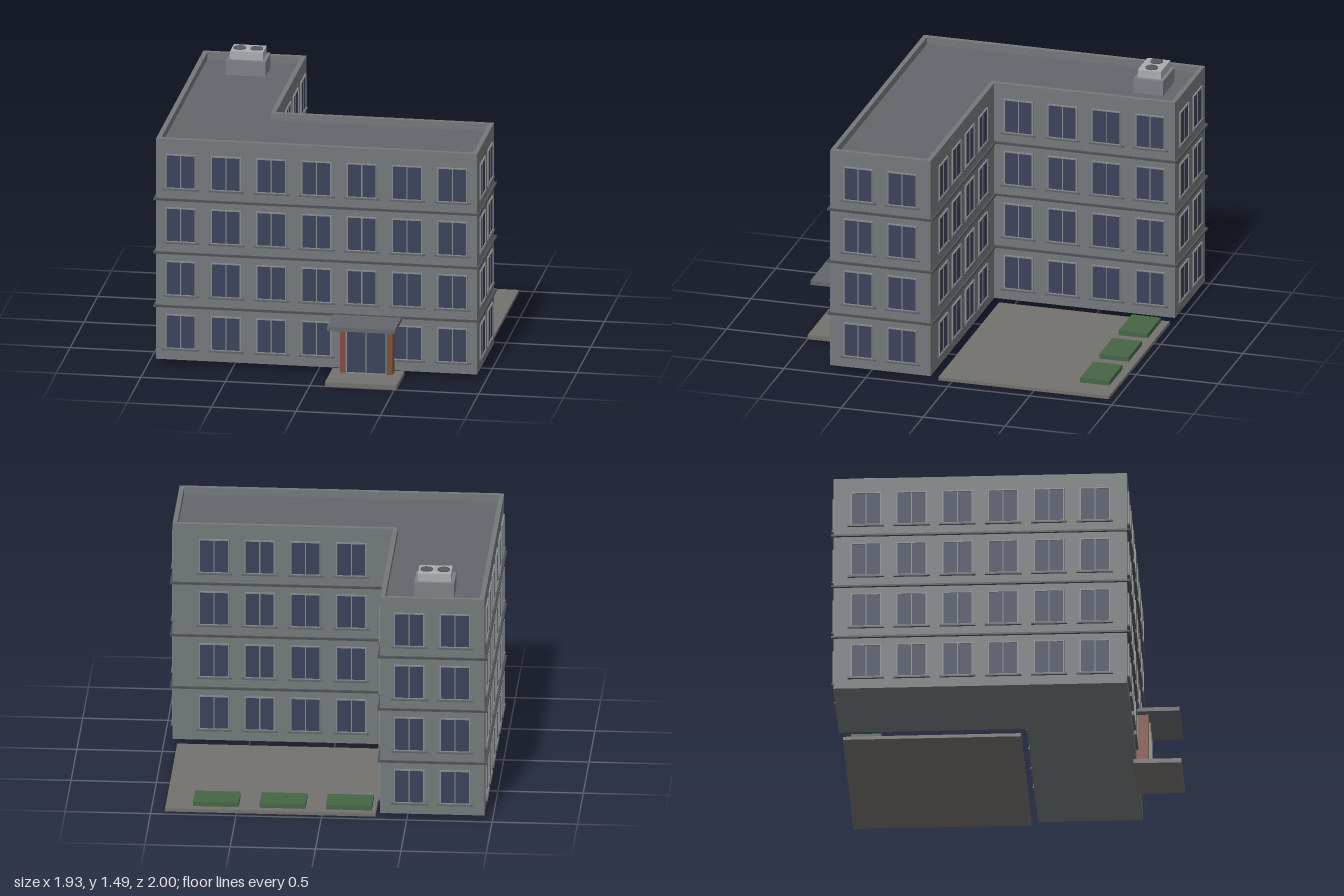
import * as THREE from 'three';

const X0 = -0.953, X1 = 0.948, XI = -0.343; // left wall, right wall, inner wing wall
const ZF = 0.733, ZB = -0.983, ZI = 0.12;   // front wall, wing end, inner bar wall
const BASE = 0.033, STOREY = 0.327, FLOORS = 4, TOP = 1.385;
const ROOF = BASE + STOREY * FLOORS;
const BAY = 0.268;

const mat = (color) => new THREE.MeshStandardMaterial({ color });
const M = {
  wall: mat(0x73787a), band: mat(0x4c5052), roof: mat(0x65666b), glass: mat(0x3b4259),
  frame: mat(0x85898a), sill: mat(0x5f6466), brick: mat(0x7f4c3c), paving: mat(0x72716d),
  green: mat(0x456545), unit: mat(0xa9abaf), unitBase: mat(0x7c7f85), fan: mat(0x56595f),
};

function add(parent, name, geometry, material) {
  const m = new THREE.Mesh(geometry, material);
  m.name = name;
  parent.add(m);
  return m;
}

// box given by its limits on each axis
function box(parent, name, material, [xa, xb], [ya, yb], [za, zb]) {
  const m = add(parent, name, new THREE.BoxGeometry(xb - xa, yb - ya, zb - za), material);
  m.position.set((xa + xb) / 2, (ya + yb) / 2, (za + zb) / 2);
  return m;
}

// L-shaped plan, grown outwards by d
function plan(d) {
  return [
    [X0 - d, ZF + d], [X1 + d, ZF + d], [X1 + d, ZI - d],
    [XI + d, ZI - d], [XI + d, ZB - d], [X0 - d, ZB - d],
  ].map(([x, z]) => new THREE.Vector2(x, -z));
}

function slab(parent, name, material, grow, y0, y1, holeGrow) {
  const shape = new THREE.Shape(plan(grow));
  if (holeGrow !== undefined) shape.holes.push(new THREE.Path(plan(holeGrow).reverse()));
  const g = new THREE.ExtrudeGeometry(shape, { depth: y1 - y0, bevelEnabled: false });
  g.rotateX(-Math.PI / 2);
  add(parent, name, g, material).position.y = y0;
}

// rectangular ring facing +z
function ring(w, h, t, depth) {
  const rect = (P, a, b) => new P([[-a, -b], [a, -b], [a, b], [-a, b]].map((p) => new THREE.Vector2(...p)));
  const s = rect(THREE.Shape, w / 2, h / 2);
  s.holes.push(rect(THREE.Path, w / 2 - t, h / 2 - t));
  return new THREE.ExtrudeGeometry(s, { depth, bevelEnabled: false });
}

const W = 0.178, H = 0.212;
const frameGeo = ring(W, H, 0.007, 0.01);
const glassGeo = new THREE.BoxGeometry(W - 0.01, H - 0.01, 0.008);
const mullionGeo = new THREE.BoxGeometry(0.006, H - 0.012, 0.014);
const sillGeo = new THREE.BoxGeometry(0.212, 0.01, 0.03);

function makeWindow() {
  const g = new THREE.Group();
  g.name = 'window';
  add(g, 'windowFrame', frameGeo, M.frame);
  add(g, 'windowGlass', glassGeo, M.glass);
  add(g, 'windowMullion', mullionGeo, M.frame);
  add(g, 'windowSill', sillGeo, M.sill).position.y = -H / 2 - 0.003;
  return g;
}

// rows of windows centred on a wall; angle turns the wall to face outwards
function facade(parent, name, cx, cz, length, angle, skip = () => false) {
  const wall = new THREE.Group();
  wall.name = name;
  wall.position.set(cx, 0, cz);
  wall.rotation.y = angle;
  const n = Math.floor(length / BAY);
  for (let f = 0; f < FLOORS; f++) {
    for (let i = 0; i < n; i++) {
      if (skip(f, i)) continue;
      const w = makeWindow();
      w.position.set((i - (n - 1) / 2) * BAY, BASE + f * STOREY + 0.173, 0);
      wall.add(w);
    }
  }
  parent.add(wall);
}

export function createModel() {
  const model = new THREE.Group();
  model.name = 'officeBuilding';

  // body, roof, parapet and storey bands
  slab(model, 'walls', M.wall, 0, BASE, ROOF - 0.005);
  slab(model, 'roof', M.roof, -0.003, ROOF - 0.006, ROOF);
  slab(model, 'parapet', M.wall, 0, ROOF - 0.005, TOP, -0.028);
  for (let f = 1; f < FLOORS; f++) {
    const y = BASE + f * STOREY;
    slab(model, 'storeyBand', M.band, 0.015, y - 0.005, y + 0.006);
  }

  // windows on all six walls; the entrance replaces one bay
  const q = Math.PI / 2;
  facade(model, 'frontWindows', (X0 + X1) / 2, ZF, X1 - X0, 0, (f, i) => f === 0 && i === 4);
  facade(model, 'leftEndWindows', X1, (ZF + ZI) / 2, ZF - ZI, q);
  facade(model, 'courtyardBarWindows', (XI + X1) / 2, ZI, X1 - XI, 2 * q);
  facade(model, 'courtyardWingWindows', XI, (ZI + ZB) / 2, ZI - ZB, q);
  facade(model, 'wingEndWindows', (X0 + XI) / 2, ZB, XI - X0, 2 * q);
  facade(model, 'rightWindows', X0, (ZF + ZB) / 2, ZF - ZB, -q);

  // entrance
  const door = new THREE.Group();
  door.name = 'entrance';
  box(door, 'entranceStep', M.paving, [0.09, 0.515], [0, 0.027], [0.72, 1]);
  box(door, 'portal', M.brick, [0.148, 0.458], [0.027, 0.338], [0.72, 0.805]);
  box(door, 'canopy', M.roof, [0.1, 0.502], [0.338, 0.363], [0.72, 0.988]);
  box(door, 'doorGlass', M.glass, [0.188, 0.42], [0.027, 0.3], [0.8, 0.81]);
  const frame = add(door, 'doorFrame', ring(0.242, 0.276, 0.007, 0.012), M.frame);
  frame.position.set(0.304, 0.166, 0.803);
  box(door, 'doorMullion', M.frame, [0.301, 0.307], [0.03, 0.3], [0.803, 0.814]);
  model.add(door);

  // courtyard with planting beds
  box(model, 'courtyard', M.paving, [-0.315, 0.918], [0, 0.02], [-0.96, 0.082]);
  for (const x of [-0.155, 0.233, 0.624]) {
    box(model, 'plantingBed', M.green, [x - 0.134, x + 0.134], [0.018, 0.048], [-0.913, -0.735]);
  }

  // rooftop ventilation unit
  const vent = new THREE.Group();
  vent.name = 'rooftopUnit';
  vent.position.set(-0.651, 0, -0.763);
  box(vent, 'unitBase', M.unitBase, [-0.117, 0.117], [ROOF - 0.002, 1.433], [-0.09, 0.09]);
  box(vent, 'unitBody', M.unit, [-0.097, 0.097], [1.433, 1.482], [-0.07, 0.07]);
  for (const s of [-1, 1]) {
    const fan = add(vent, 'fan', new THREE.CylinderGeometry(0.037, 0.037, 0.012, 24), M.fan);
    fan.position.set(s * 0.05, 1.482, 0);
  }
  model.add(vent);

  return model;
}
